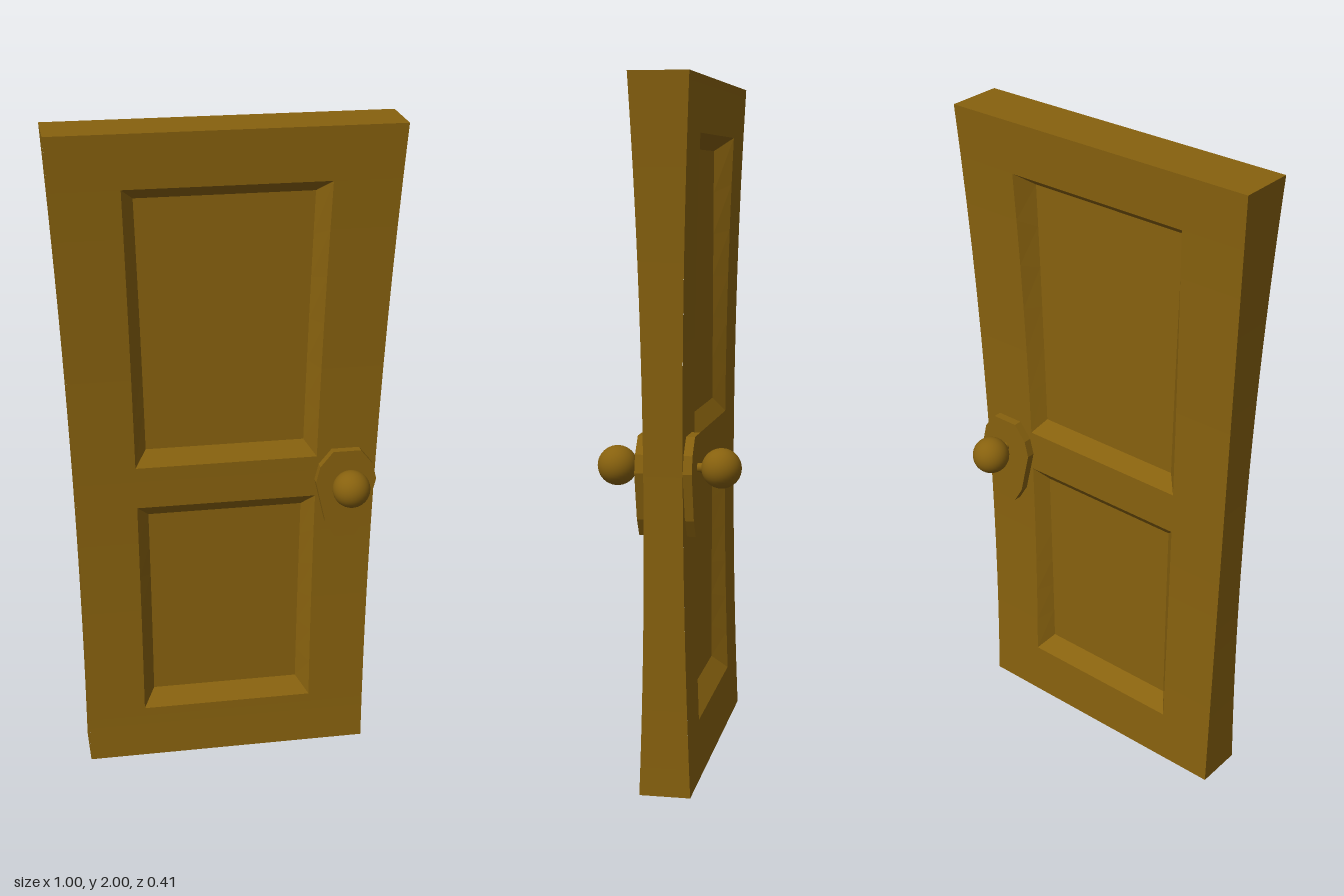
import * as THREE from 'three';

const wood = new THREE.MeshStandardMaterial({ color: 0x87610e, flatShading: true });
const smoothWood = new THREE.MeshStandardMaterial({ color: 0x87610e });

// Bowed silhouette: half width and half thickness at each height
const halfW = y => 0.437 + 0.0157 * y * y;
const halfD = y => 0.073 - 0.041 * y + 0.023 * y * y;
const panelW = y => halfW(y) * 0.6;

const PANELS = [[0.17, 0.87], [1.0, 1.845]];
const FLOOR = 0.02;
const STEPS = 6;
const lerp = THREE.MathUtils.lerp;

// Collects counter-clockwise quads into one geometry
function quadBuilder() {
  const pos = [];
  return {
    quad(a, b, c, d) { for (const p of [a, b, c, a, c, d]) pos.push(...p); },
    build() {
      const g = new THREE.BufferGeometry();
      g.setAttribute('position', new THREE.Float32BufferAttribute(pos, 3));
      g.computeVertexNormals();
      return g;
    },
  };
}

// One face of the door: stiles, rails and the two bevelled recesses
function faceGeometry() {
  const q = quadBuilder();
  const at = (fx, y) => [fx * halfW(y), y, halfD(y)];
  const band = (f0, f1, y0, y1) => q.quad(at(f0, y0), at(f1, y0), at(f1, y1), at(f0, y1));
  const levels = [0, ...PANELS.flat(), 2];

  for (let i = 0; i < levels.length - 1; i++) {
    for (let s = 0; s < STEPS; s++) {
      const y0 = lerp(levels[i], levels[i + 1], s / STEPS);
      const y1 = lerp(levels[i], levels[i + 1], (s + 1) / STEPS);
      band(-1, -0.6, y0, y1);
      band(0.6, 1, y0, y1);
      if (i % 2 === 0) band(-0.6, 0.6, y0, y1);
    }
  }

  for (const [bottom, top] of PANELS) {
    const outer = (side, t) => {
      const y = lerp(bottom, top, t);
      return [side * panelW(y), y, halfD(y)];
    };
    const inner = (side, t) => {
      const y = lerp(bottom + 0.045, top - 0.04, t);
      return [side * (panelW(y) - 0.036), y, FLOOR];
    };
    for (let s = 0; s < STEPS; s++) {
      const a = s / STEPS, b = (s + 1) / STEPS;
      q.quad(outer(-1, a), inner(-1, a), inner(-1, b), outer(-1, b));
      q.quad(inner(1, a), outer(1, a), outer(1, b), inner(1, b));
      q.quad(inner(-1, a), inner(1, a), inner(1, b), inner(-1, b));
    }
    q.quad(outer(-1, 0), outer(1, 0), inner(1, 0), inner(-1, 0));
    q.quad(inner(-1, 1), inner(1, 1), outer(1, 1), outer(-1, 1));
  }
  return q.build();
}

// Long edges, top and bottom
function edgeGeometry() {
  const q = quadBuilder();
  const at = (sx, sz, y) => [sx * halfW(y), y, sz * halfD(y)];
  const n = 24;
  for (let i = 0; i < n; i++) {
    const y0 = 2 * i / n, y1 = 2 * (i + 1) / n;
    for (const s of [-1, 1]) q.quad(at(s, s, y0), at(s, -s, y0), at(s, -s, y1), at(s, s, y1));
  }
  q.quad(at(-1, 1, 2), at(1, 1, 2), at(1, -1, 2), at(-1, -1, 2));
  q.quad(at(-1, -1, 0), at(1, -1, 0), at(1, 1, 0), at(-1, 1, 0));
  return q.build();
}

// Back plate, stem and round knob, facing +z
function createHandle() {
  const handle = new THREE.Group();
  const outline = [
    [-0.042, 0.092], [0.042, 0.092], [0.08, 0.045], [0.092, -0.005], [0.06, -0.14],
    [0.03, -0.19], [-0.03, -0.19], [-0.06, -0.14], [-0.092, -0.005], [-0.08, 0.045],
  ].map(([x, y]) => new THREE.Vector2(x, y));
  const plate = new THREE.Mesh(
    new THREE.ExtrudeGeometry(new THREE.Shape(outline), { depth: 0.04, bevelEnabled: false }), wood);
  plate.name = 'handlePlate';
  plate.position.z = 0.04;

  const stem = new THREE.Mesh(
    new THREE.CylinderGeometry(0.013, 0.013, 0.07, 16).rotateX(Math.PI / 2), smoothWood);
  stem.name = 'knobStem';
  stem.position.z = 0.095;

  const knob = new THREE.Mesh(new THREE.SphereGeometry(0.056, 32, 20), smoothWood);
  knob.name = 'knob';
  knob.position.z = 0.147;

  handle.add(plate, stem, knob);
  return handle;
}

export function createModel() {
  const model = new THREE.Group();
  model.name = 'door';

  const edges = new THREE.Mesh(edgeGeometry(), wood);
  edges.name = 'doorEdges';
  model.add(edges);

  const face = faceGeometry();
  for (const [side, turn] of [['front', 0], ['back', Math.PI]]) {
    const panel = new THREE.Mesh(face, wood);
    panel.name = side + 'Face';
    panel.rotation.y = turn;

    const handle = createHandle();
    handle.name = side + 'Handle';
    handle.position.set(0.358, 0.93, 0);
    handle.rotation.y = turn;
    model.add(panel, handle);
  }
  return model;
}
